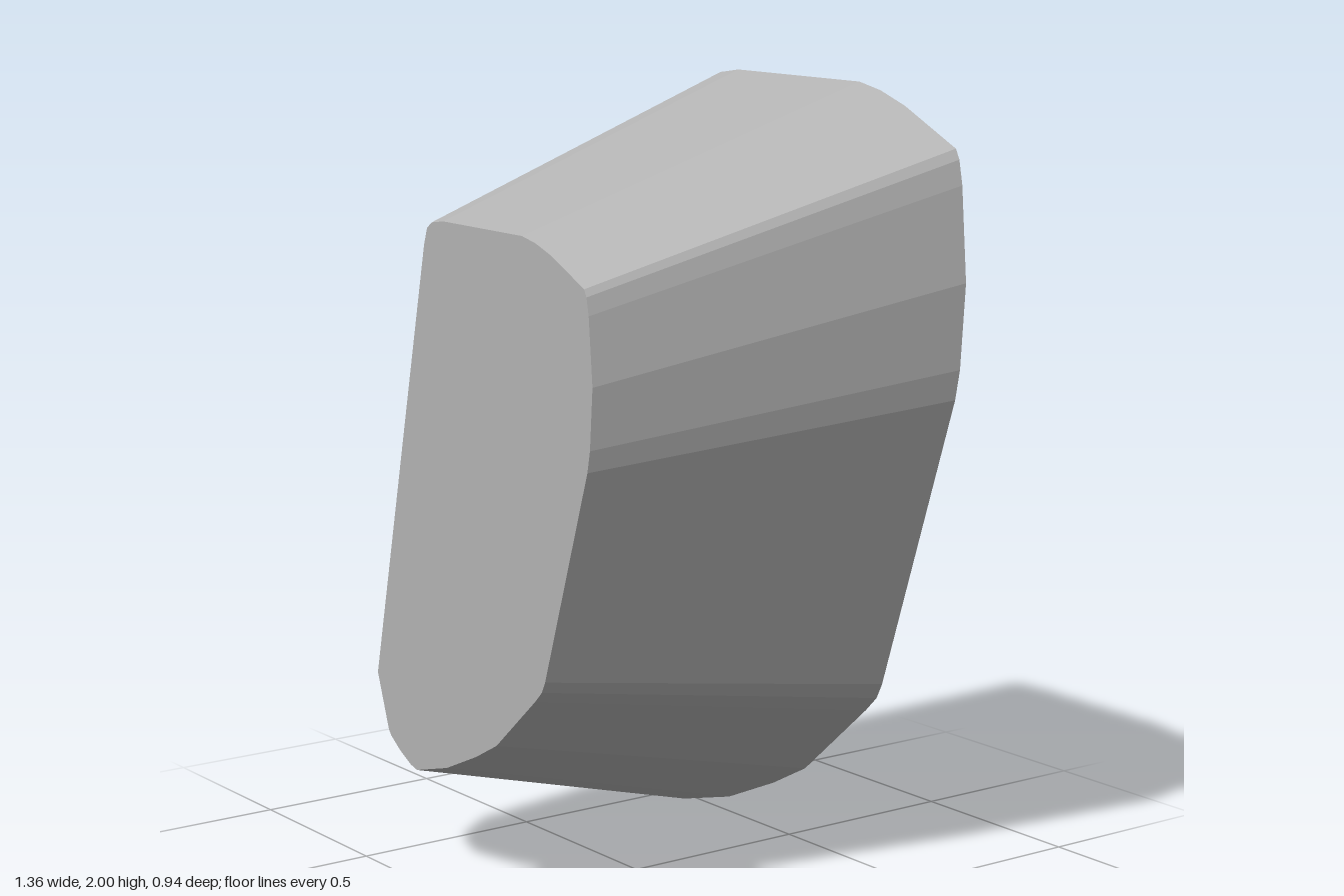
import * as THREE from 'three';

// Outline of the large back face, counter-clockwise seen from the front
const OUTLINE = [
  [-0.68, 0.31], [-0.61, 0.11], [-0.595, 0.09], [-0.53, 0.045], [-0.46, 0.01], [-0.42, 0],
  [-0.22, 0.055], [-0.03, 0.14], [0.1, 0.21], [0.34, 0.42], [0.38, 0.46], [0.4, 0.5],
  [0.65, 1.255], [0.665, 1.33], [0.68, 1.54], [0.66, 1.77], [0.648, 1.83], [0.635, 1.855],
  [0.45, 1.945], [0.36, 1.977], [0.28, 1.994], [-0.2, 2], [-0.275, 1.99], [-0.305, 1.968], [-0.325, 1.91],
];
const HALF_DEPTH = 0.47;
const TAPER = 0.7;      // front face size relative to the back face
const CENTRE_Y = 0.917; // height the taper converges towards

export function createModel() {
  const stone = new THREE.MeshStandardMaterial({ color: 0xb3b3b3 });
  stone.name = 'light grey';

  // Straight prism, then shrink its front ring into a taper
  const shape = new THREE.Shape(OUTLINE.map(([x, y]) => new THREE.Vector2(x, y)));
  const geometry = new THREE.ExtrudeGeometry(shape, { depth: 2 * HALF_DEPTH, bevelEnabled: false });
  geometry.translate(0, 0, -HALF_DEPTH);
  const p = geometry.attributes.position;
  for (let i = 0; i < p.count; i++) {
    if (p.getZ(i) > 0) p.setXY(i, p.getX(i) * TAPER, CENTRE_Y + (p.getY(i) - CENTRE_Y) * TAPER);
  }
  geometry.computeVertexNormals(); // unshared corners keep the facets flat

  const block = new THREE.Mesh(geometry, stone);
  block.name = 'taperedBlock';
  const group = new THREE.Group();
  group.name = 'taperedStone';
  group.add(block);
  return group;
}
